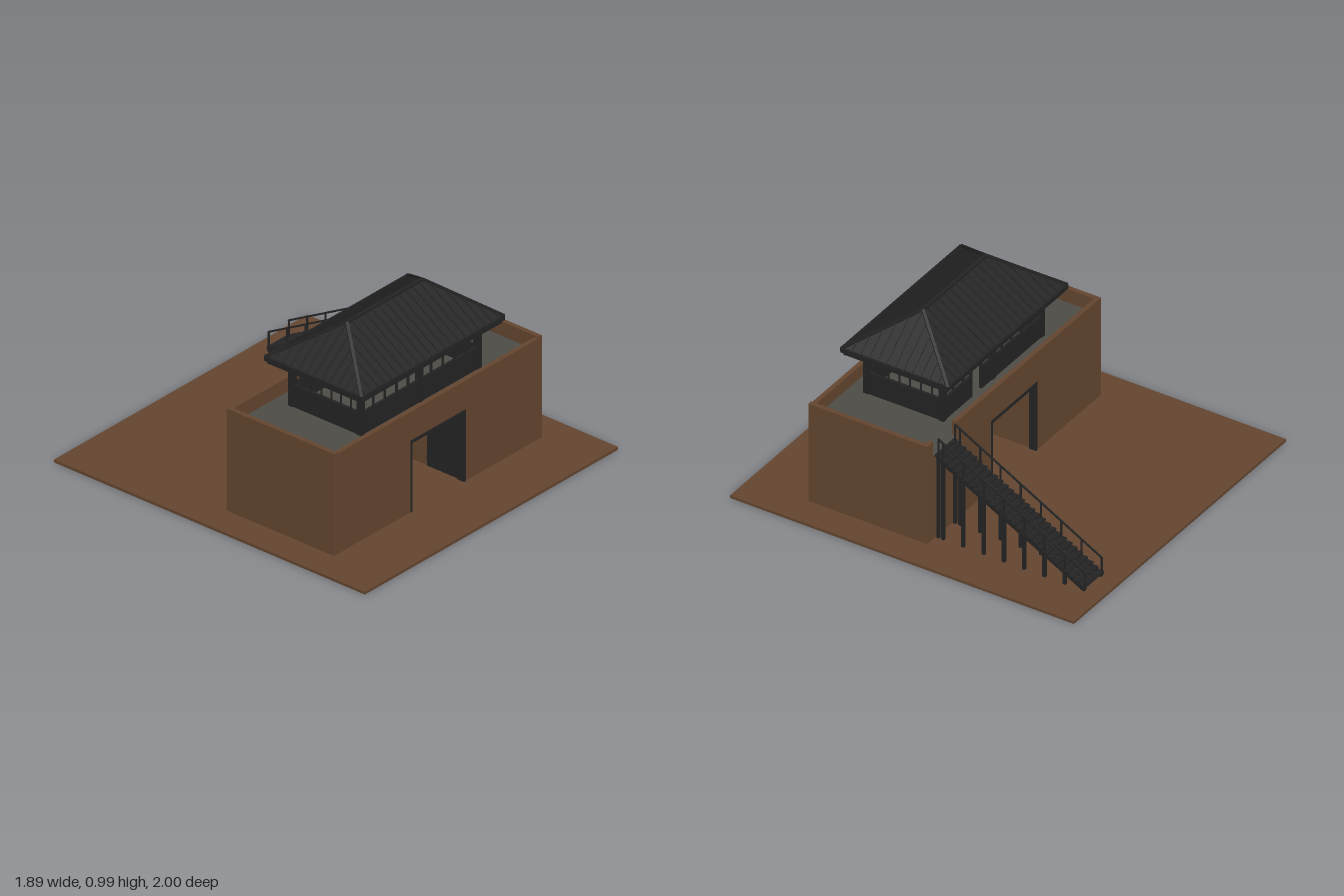
import * as THREE from 'three';

export function createModel() {
  const model = new THREE.Group();
  model.name = 'gatehouse';
  const earth = new THREE.MeshStandardMaterial({ color: 0x63452f });
  const timber = new THREE.MeshStandardMaterial({ color: 0x232323 });
  const stone = new THREE.MeshStandardMaterial({ color: 0x4d4b45 });
  const roofing = new THREE.MeshStandardMaterial({ color: 0x242424, side: THREE.DoubleSide });
  earth.name = 'earth brown';
  timber.name = 'dark timber';
  stone.name = 'grey stone';
  roofing.name = 'roof charcoal';

  const group = (name) => {
    const g = new THREE.Group();
    g.name = name;
    model.add(g);
    return g;
  };
  // Box given by its limits on each axis
  const box = (parent, name, mat, x0, x1, y0, y1, z0, z1) => {
    const m = new THREE.Mesh(new THREE.BoxGeometry(x1 - x0, y1 - y0, z1 - z0), mat);
    m.position.set((x0 + x1) / 2, (y0 + y1) / 2, (z0 + z1) / 2);
    m.name = name;
    parent.add(m);
    return m;
  };
  // Rectangular bar between two points
  const bar = (parent, name, mat, a, b, w, h) => {
    const p = new THREE.Vector3(...a), q = new THREE.Vector3(...b);
    const m = new THREE.Mesh(new THREE.BoxGeometry(w, h, p.distanceTo(q)), mat);
    m.position.copy(p).add(q).multiplyScalar(0.5);
    m.lookAt(q);
    m.name = name;
    parent.add(m);
    return m;
  };

  box(model, 'ground', earth, -0.945, 0.945, 0, 0.015, -1, 1);

  // Gate block: two solid halves joined over the passage
  const DECK = 0.5, ZB = -0.035, ZF = 0.655, T = 0.025;
  const walls = group('walls');
  const outline = new THREE.Shape();
  [[-0.775, 0.015], [-0.2, 0.015], [-0.2, 0.415], [0.2, 0.415], [0.2, 0.015],
    [0.775, 0.015], [0.775, DECK], [-0.775, DECK]].forEach(([x, y], i) =>
    i ? outline.lineTo(x, y) : outline.moveTo(x, y));
  const block = new THREE.Mesh(
    new THREE.ExtrudeGeometry(outline, { depth: ZF - ZB, bevelEnabled: false }), earth);
  block.position.z = ZB;
  block.name = 'gateBlock';
  walls.add(block);

  // Parapet, open at the back where the stair arrives
  box(walls, 'frontParapet', earth, -0.75, 0.75, DECK, 0.577, ZF - T, ZF);
  for (const s of [-1, 1]) {
    const a = s * 0.775, b = s * 0.75;
    box(walls, 'sideParapet', earth, Math.min(a, b), Math.max(a, b), DECK, 0.586, ZB, ZF);
  }
  box(walls, 'backParapet', earth, -0.75, 0.515, DECK, 0.586, ZB, ZB + T);
  box(walls, 'backParapetEnd', earth, 0.72, 0.75, DECK, 0.586, ZB, ZB + T);
  box(model, 'deck', stone, -0.75, 0.75, DECK, DECK + 0.006, ZB + T, ZF - T);
  box(model, 'deckThreshold', stone, 0.515, 0.72, DECK, DECK + 0.006, ZB, ZB + T);

  // Gate frames and the open door leaves folded against the passage
  const gate = group('gate');
  for (const z of [ZB - 0.003, ZF - 0.037]) {
    box(gate, 'lintel', timber, -0.205, 0.205, 0.398, 0.416, z, z + 0.04);
    for (const s of [-1, 1])
      box(gate, 'jamb', timber, s * 0.198 - 0.007, s * 0.198 + 0.007, 0.015, 0.41, z, z + 0.04);
  }
  for (const s of [-1, 1]) {
    box(gate, 'doorLeaf', timber, s * 0.196 - 0.004, s * 0.196 + 0.004, 0.02, 0.395, 0.42, 0.618);
    for (let i = 0; i < 5; i++) {
      const z = 0.43 + i * 0.044;
      box(gate, 'doorBatten', timber, s * 0.194 - 0.004, s * 0.194 + 0.004, 0.02, 0.395, z, z + 0.012);
    }
    for (const y of [0.07, 0.33])
      box(gate, 'hinge', timber, s * 0.192 - 0.005, s * 0.192 + 0.005, y - 0.01, y + 0.01, 0.42, 0.62);
  }

  // Pavilion: posts, sills, mullions and top beams
  const pav = group('pavilion');
  const X = 0.45, Z0 = 0.08, Z1 = 0.55, P = 0.03, SILL = 0.63, TOP = 0.755;
  for (const x of [-X, -P / 2, X - P])
    for (const z of [Z0, Z1 - P]) box(pav, 'post', timber, x, x + P, DECK, TOP, z, z + P);
  box(pav, 'frontSill', timber, -X, X, DECK, SILL, Z1 - 0.02, Z1 - 0.005);
  box(pav, 'backSill', timber, -X, 0.1, DECK, SILL, Z0 + 0.005, Z0 + 0.02);
  box(pav, 'backSill', timber, 0.19, X, DECK, SILL, Z0 + 0.005, Z0 + 0.02);
  for (const x of [0.095, 0.185])
    box(pav, 'doorPost', timber, x, x + 0.01, DECK, TOP, Z0 + 0.005, Z0 + 0.02);
  for (const s of [-1, 1])
    box(pav, 'sideSill', timber, s * 0.437 - 0.008, s * 0.437 + 0.008, DECK, SILL, Z0, Z1);
  for (const s of [-1, 1])
    for (let i = 1; i <= 4; i++) {
      const x = s * 0.086 * i;
      box(pav, 'frontMullion', timber, x - 0.004, x + 0.004, SILL, TOP, Z1 - 0.018, Z1 - 0.008);
      if (s < 0 || i > 2)
        box(pav, 'backMullion', timber, x - 0.004, x + 0.004, SILL, TOP, Z0 + 0.008, Z0 + 0.018);
    }
  for (const s of [-1, 1])
    for (let i = 1; i <= 6; i++) {
      const z = Z0 + 0.015 + (i * 0.44) / 7;
      box(pav, 'sideMullion', timber, s * 0.437 - 0.004, s * 0.437 + 0.004, SILL, TOP, z - 0.003, z + 0.003);
    }
  for (const z of [Z0, Z1 - P]) box(pav, 'longBeam', timber, -0.52, 0.52, 0.747, 0.775, z, z + P);
  for (const x of [-X, -P / 2, X - P]) box(pav, 'crossBeam', timber, x, x + P, 0.747, 0.775, 0.01, 0.615);

  // Hipped roof
  const roof = group('roof');
  const CZ = 0.3125, EX = 0.533, EZ = 0.31, EY = 0.785, RX = 0.28, RY = 0.985;
  const eave = [[-EX, EY, CZ + EZ], [EX, EY, CZ + EZ], [EX, EY, CZ - EZ], [-EX, EY, CZ - EZ]];
  const ridgeL = [-RX, RY, CZ], ridgeR = [RX, RY, CZ];
  const faces = [
    eave[0], eave[1], ridgeR, eave[0], ridgeR, ridgeL,
    eave[2], eave[3], ridgeL, eave[2], ridgeL, ridgeR,
    eave[1], eave[2], ridgeR, eave[3], eave[0], ridgeL];
  const slopes = new THREE.BufferGeometry();
  slopes.setAttribute('position', new THREE.Float32BufferAttribute(faces.flat(), 3));
  slopes.computeVertexNormals();
  const slopeMesh = new THREE.Mesh(slopes, roofing);
  slopeMesh.name = 'roofSlopes';
  roof.add(slopeMesh);
  bar(roof, 'ridgeCap', timber, ridgeL, ridgeR, 0.018, 0.014);
  eave.forEach((c, i) => {
    bar(roof, 'hipCap', timber, c, i === 0 || i === 3 ? ridgeL : ridgeR, 0.016, 0.014);
    bar(roof, 'fascia', timber, [c[0], 0.778, c[2]],
      [eave[(i + 1) % 4][0], 0.778, eave[(i + 1) % 4][2]], 0.012, 0.024);
  });
  for (const s of [-1, 1]) {
    box(roof, 'eaveBeam', timber, -0.525, 0.525, 0.747, 0.77, CZ + s * 0.294 - 0.008, CZ + s * 0.294 + 0.008);
    box(roof, 'eaveBeamEnd', timber, s * 0.515 - 0.008, s * 0.515 + 0.008, 0.747, 0.77, CZ - 0.3, CZ + 0.3);
  }
  // Standing seams with a rafter below each one
  const seam = (x0, z0, x1, y1, z1) => {
    bar(roof, 'seam', timber, [x0, EY + 0.002, z0], [x1, y1 + 0.002, z1], 0.006, 0.007);
    bar(roof, 'rafter', timber, [x0, EY - 0.012, z0], [x1, y1 - 0.012, z1], 0.01, 0.014);
  };
  for (const s of [-1, 1]) {
    for (let i = -10; i <= 10; i++) {
      const x = i * 0.05;
      const t = Math.min(1, (EX - Math.abs(x)) / (EX - RX));
      seam(x, CZ + s * EZ, x, EY + t * (RY - EY), CZ + s * EZ * (1 - t));
    }
    for (let i = -5; i <= 5; i++) {
      const d = i * 0.05, t = 1 - Math.abs(d) / EZ;
      seam(s * EX, CZ + d, s * (EX - t * (EX - RX)), EY + t * (RY - EY), CZ + d);
    }
  }

  // Stair with stringers, posts and handrails
  const stair = group('stair');
  const SX0 = 0.535, SX1 = 0.705, ZT = -0.045, ZE = -0.905;
  const slopeY = (z) => 0.025 + ((z - ZE) / (ZT - ZE)) * 0.465;
  const STEPS = 28;
  for (let i = 0; i < STEPS; i++) {
    const z = ZE + ((i + 0.5) / STEPS) * (ZT - ZE);
    const y = slopeY(z) + 0.008;
    box(stair, 'tread', timber, SX0, SX1, y - 0.004, y + 0.005, z - 0.018, z + 0.018);
  }
  box(stair, 'topStep', timber, SX0, SX1, 0.49, 0.503, ZT - 0.01, ZB);
  for (const x of [SX0 + 0.01, SX1 - 0.01]) {
    bar(stair, 'stringer', timber, [x, slopeY(ZE) - 0.002, ZE], [x, slopeY(ZT) - 0.005, ZT], 0.012, 0.026);
    bar(stair, 'handrail', timber, [x, 0.125, ZE], [x, 0.594, ZT - 0.002], 0.008, 0.008);
    box(stair, 'topPost', timber, x - 0.008, x + 0.008, 0.015, 0.5, -0.057, -0.042);
    box(stair, 'topRailPost', timber, x - 0.004, x + 0.004, 0.49, 0.595, -0.052, -0.045);
    for (let i = 0; i < 8; i++) {
      const z = -0.077 - i * 0.1178;
      box(stair, 'railPost', timber, x - 0.004, x + 0.004, slopeY(z), slopeY(z) + 0.101, z - 0.004, z + 0.004);
      if (i < 7) box(stair, 'support', timber, x - 0.008, x + 0.008, 0.015, slopeY(z), z - 0.008, z + 0.008);
    }
  }
  return model;
}
